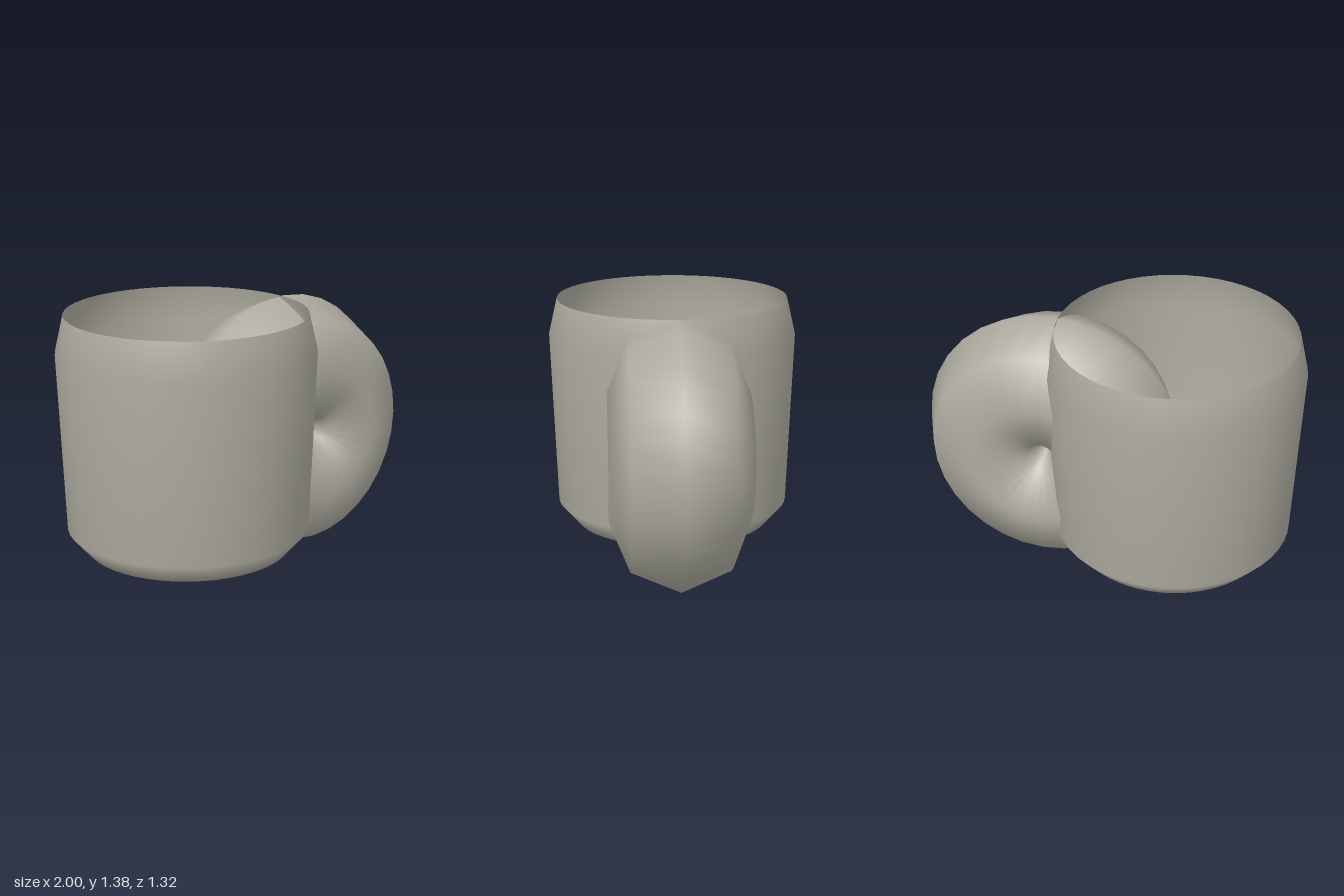
import * as THREE from 'three';

export function createModel() {
  const model = new THREE.Group();
  const clay = new THREE.MeshStandardMaterial({ color: 0xaeaca0, side: THREE.DoubleSide });
  clay.name = 'warm grey clay';

  // Thin open cup: flat floor, bevelled foot, slightly flared wall, tapered lip
  const profile = [[0, 0.155], [0.53, 0.155], [0.625, 0.265], [0.66, 1.19], [0.615, 1.385]]
    .map(([r, y]) => new THREE.Vector2(r, y));
  const cup = new THREE.Mesh(new THREE.LatheGeometry(profile, 48), clay);
  cup.name = 'cup';
  cup.position.x = -0.34;
  model.add(cup);

  // Fat ring handle, its tube thick enough to close the hole to a dimple
  const handle = new THREE.Mesh(new THREE.TorusGeometry(0.33, 0.36, 8, 32), clay);
  handle.name = 'handle';
  handle.position.set(0.31, 0.69, 0);
  model.add(handle);

  return model;
}
